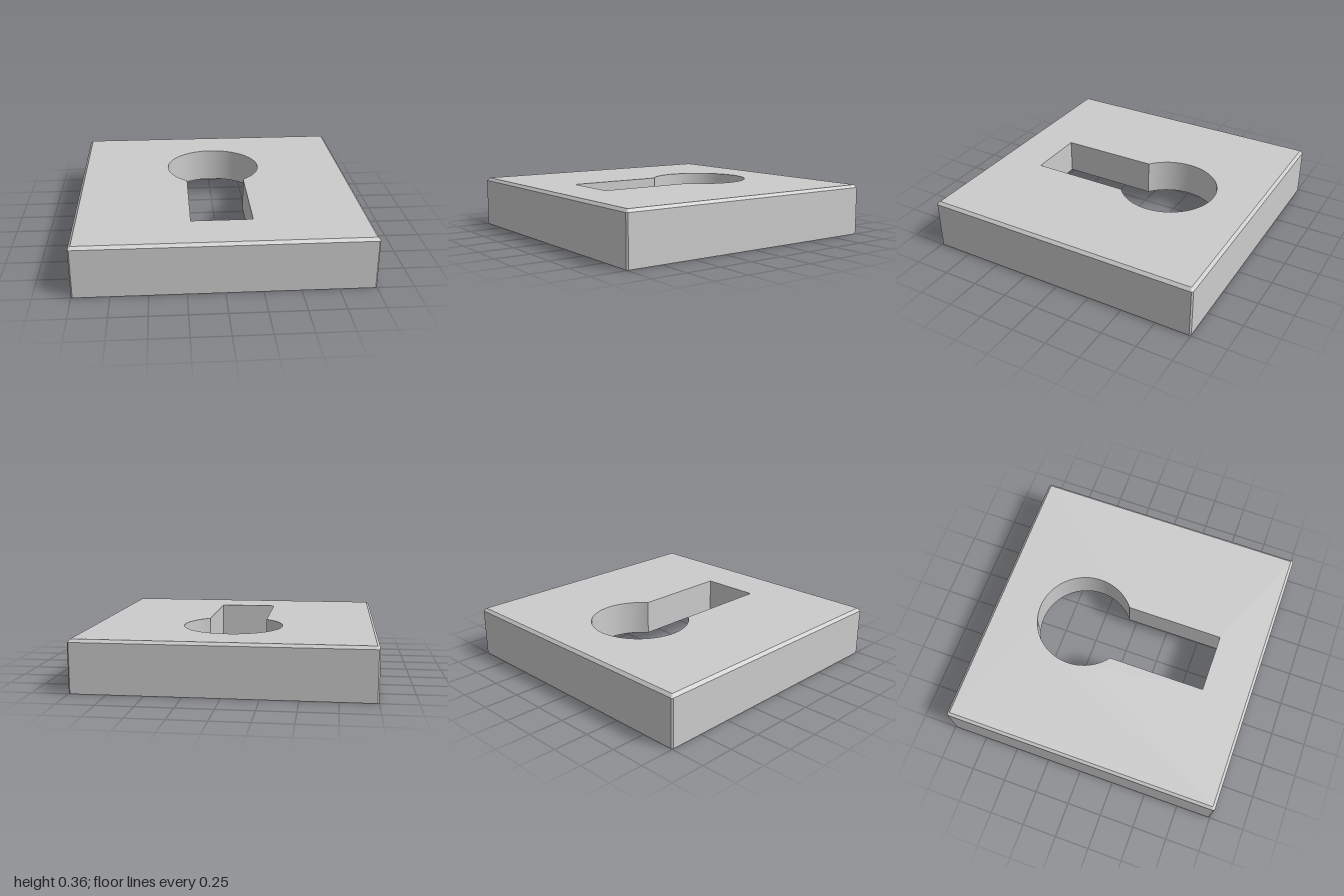
import * as THREE from 'three';
import { toCreasedNormals } from 'three/addons/utils/BufferGeometryUtils.js';

const TOP = 0.362, CHAMFER = 0.02, RECESS = 0.115, RIM = 0.067;

// Square outline with clipped corners, counter-clockwise seen from above (y = -z)
function square(half, cut) {
  const a = half, b = half - cut;
  return [[a, -b], [a, b], [b, a], [-b, a], [-a, b], [-a, -b], [-b, -a], [b, -a]]
    .map(([x, y]) => new THREE.Vector2(x, y));
}

// Keyhole outline: round head at the back, straight slot towards the front
function keyhole() {
  const r = 0.349, w = 0.211, cy = 0.326, end = -0.658, steps = 64;
  const start = -Math.acos(w / r), sweep = Math.PI - 2 * start;
  const pts = [new THREE.Vector2(-w, end), new THREE.Vector2(w, end)];
  for (let i = 0; i <= steps; i++) {
    const t = start + sweep * i / steps;
    pts.push(new THREE.Vector2(r * Math.cos(t), cy + r * Math.sin(t)));
  }
  return pts;
}

// Skin a stack of outlines, each { pts, y }
function loft(rings) {
  const n = rings[0].pts.length, pos = [], index = [];
  for (const { pts, y } of rings) for (const p of pts) pos.push(p.x, y, -p.y);
  for (let k = 0; k < rings.length - 1; k++) {
    for (let i = 0; i < n; i++) {
      const a = k * n + i, b = k * n + (i + 1) % n;
      index.push(a, b, b + n, a, b + n, a + n);
    }
  }
  const g = new THREE.BufferGeometry();
  g.setAttribute('position', new THREE.Float32BufferAttribute(pos, 3));
  g.setIndex(index);
  return toCreasedNormals(g, 0.5);
}

// Flat face with the keyhole cut out, facing up or down
function face(outline, y, up) {
  const s = up ? 1 : -1;
  const flip = pts => pts.map(p => new THREE.Vector2(p.x, p.y * s));
  const shape = new THREE.Shape(flip(outline));
  shape.holes.push(new THREE.Path(flip(keyhole())));
  return new THREE.ShapeGeometry(shape).rotateX(-s * Math.PI / 2).translate(0, y, 0);
}

export function createModel() {
  const group = new THREE.Group();
  group.name = 'keyholePlate';
  const material = new THREE.MeshStandardMaterial({ color: 0xcccccc });
  const add = (name, geometry) => {
    const mesh = new THREE.Mesh(geometry, material);
    mesh.name = name;
    group.add(mesh);
  };

  const inner = square(1 - RIM, 0.001);
  const outer = square(1, 0.01);
  const crown = square(1 - CHAMFER, 0.002);
  const hole = keyhole();

  // Recess wall, bottom rim, outer sides and top chamfer
  add('outerShell', loft([
    { pts: inner, y: RECESS },
    { pts: inner, y: 0 },
    { pts: outer, y: 0 },
    { pts: outer, y: TOP - CHAMFER },
    { pts: crown, y: TOP },
  ]));
  add('topFace', face(crown, TOP, true));
  add('undersideRecess', face(inner, RECESS, false));
  add('keyholeWall', loft([{ pts: hole, y: TOP }, { pts: hole, y: RECESS }]));

  return group;
}
